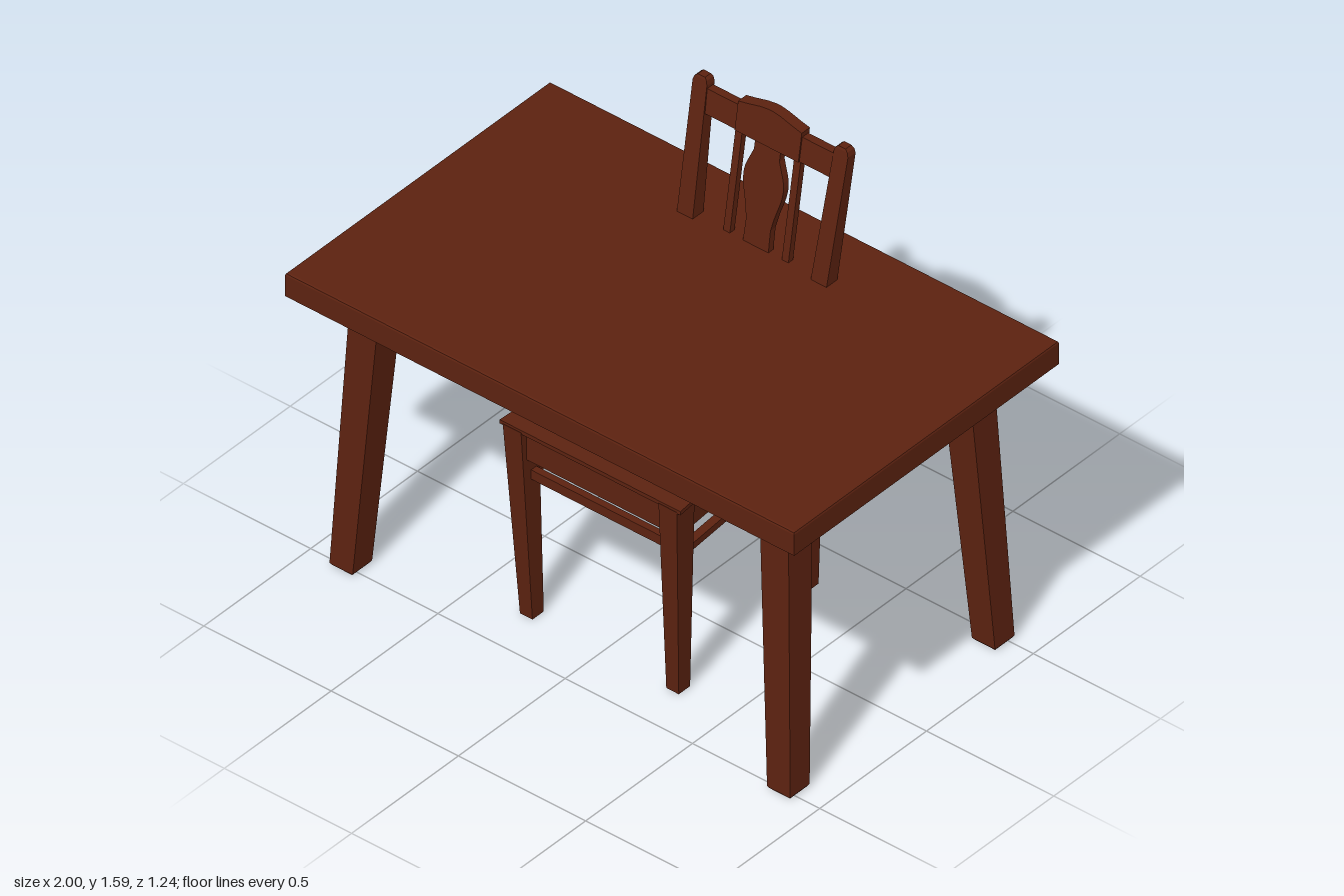
import * as THREE from 'three';

const wood = new THREE.MeshStandardMaterial({ color: 0x5c2210 });
wood.name = 'dark wood';

function add(group, name, geo) {
  const flat = geo.index ? geo.toNonIndexed() : geo;
  flat.computeVertexNormals();
  const mesh = new THREE.Mesh(flat, wood);
  mesh.name = name;
  group.add(mesh);
  return mesh;
}

// Box given by its limits
function box(x0, x1, y0, y1, z0, z1) {
  return new THREE.BoxGeometry(x1 - x0, y1 - y0, z1 - z0)
    .translate((x0 + x1) / 2, (y0 + y1) / 2, (z0 + z1) / 2);
}

// Post through rectangular sections [y, x0, x1, z0, z1], optionally mirrored
function loft(sections, sx = 1, sz = 1) {
  const rings = sections.map(([y, a, b, c, d]) => {
    const x = [a * sx, b * sx].sort((p, q) => p - q);
    const z = [c * sz, d * sz].sort((p, q) => p - q);
    return [[x[0], y, z[0]], [x[0], y, z[1]], [x[1], y, z[1]], [x[1], y, z[0]]];
  });
  const pos = [];
  const quad = (a, b, c, d) => pos.push(...a, ...b, ...c, ...a, ...c, ...d);
  for (let r = 0; r < rings.length - 1; r++) {
    for (let i = 0; i < 4; i++) {
      const j = (i + 1) % 4;
      quad(rings[r][i], rings[r][j], rings[r + 1][j], rings[r + 1][i]);
    }
  }
  const bottom = rings[0], top = rings[rings.length - 1];
  quad(...top);
  quad(bottom[3], bottom[2], bottom[1], bottom[0]);
  const geo = new THREE.BufferGeometry();
  geo.setAttribute('position', new THREE.Float32BufferAttribute(pos, 3));
  return geo;
}

// Move every vertex by a rule
function warp(geo, rule) {
  const p = geo.attributes.position, v = new THREE.Vector3();
  for (let i = 0; i < p.count; i++) {
    rule(v.fromBufferAttribute(p, i));
    p.setXYZ(i, v.x, v.y, v.z);
  }
  return geo;
}

// Backward slope of the chair back
const lean = (geo) => warp(geo, (v) => { v.z += -0.343 - 0.165 * (v.y - 0.75); });

// Outline given by its right half, mirrored in x
function mirroredShape(half) {
  const left = half.map(([x, y]) => [-x, y]).reverse();
  return new THREE.Shape([...half, ...left].map(([x, y]) => new THREE.Vector2(x, y)));
}

function rect(w, d, C = THREE.Shape) {
  return new C([[-w, -d], [w, -d], [w, d], [-w, d]].map(([x, y]) => new THREE.Vector2(x, y)));
}

function createTable() {
  const table = new THREE.Group();
  table.name = 'table';

  // Top with softened edges, and a rim around the hollow underside
  const b = 0.008;
  const plate = new THREE.ExtrudeGeometry(rect(1 - b, 0.62 - b),
    { depth: 0.045 - 2 * b, bevelSize: b, bevelThickness: b, bevelSegments: 2 });
  add(table, 'tableTop', plate.rotateX(-Math.PI / 2).translate(0, 1.07 + b, 0));
  const rim = rect(1, 0.62);
  rim.holes.push(rect(0.93, 0.55, THREE.Path));
  const rimGeo = new THREE.ExtrudeGeometry(rim, { depth: 0.052, bevelEnabled: false });
  add(table, 'tableRim', rimGeo.rotateX(-Math.PI / 2).translate(0, 1.028, 0));

  // Four splayed legs, thinner at the floor
  for (const sx of [1, -1]) for (const sz of [1, -1]) {
    add(table, 'tableLeg', loft([
      [0, 0.82, 0.9, 0.44, 0.52],
      [0.008, 0.814, 0.905, 0.434, 0.525],
      [1.075, 0.743, 0.858, 0.363, 0.478],
    ], sx, sz));
  }
  return table;
}

function createChair() {
  const chair = new THREE.Group();
  chair.name = 'chair';

  for (const s of [1, -1]) {
    add(chair, 'frontLeg', loft([
      [0, 0.263, 0.312, 0.287, 0.34],
      [0.73, 0.27, 0.342, 0.302, 0.385],
    ], s));
    // Back leg bends at the seat and rises into the back post
    add(chair, 'backLeg', loft([
      [0, 0.225, 0.282, -0.35, -0.295],
      [0.73, 0.22, 0.285, -0.378, -0.305],
      [1.115, 0.232, 0.294, -0.424, -0.373],
      [1.56, 0.249, 0.305, -0.496, -0.46],
      [1.575, 0.253, 0.3, -0.496, -0.463],
      [1.583, 0.262, 0.29, -0.494, -0.467],
    ], s));
    // Side rails follow the narrowing of the seat towards the back
    const follow = (v) => { v.x += s * 0.05 * (v.z / 0.64); };
    const xa = s * 0.28;
    add(chair, 'sideApron', warp(box(xa - 0.02, xa + 0.02, 0.615, 0.73, -0.32, 0.32), follow));
    add(chair, 'sideStretcher', warp(box(xa - 0.015, xa + 0.015, 0.515, 0.54, -0.32, 0.32), follow));
  }
  add(chair, 'frontApron', box(-0.29, 0.29, 0.615, 0.73, 0.325, 0.36));
  add(chair, 'backApron', box(-0.24, 0.24, 0.615, 0.73, -0.355, -0.32));
  add(chair, 'frontStretcher', box(-0.28, 0.28, 0.53, 0.565, 0.315, 0.34));
  add(chair, 'backStretcher', box(-0.24, 0.24, 0.53, 0.565, -0.345, -0.32));

  // Seat planks, slightly uneven
  const count = 5, depth = 0.695 / count;
  for (let i = 0; i < count; i++) {
    const z0 = -0.31 + i * depth, tilt = i % 2 ? 0.03 : -0.03;
    const plank = box(-0.355, 0.355, 0.727, 0.741, z0 + 0.001, z0 + depth - 0.001);
    add(chair, 'seatPlank', warp(plank, (v) => {
      v.y += tilt * (v.z - z0 - depth / 2);
      v.x *= 0.85 + 0.15 * (v.z + 0.31) / 0.695;
    }));
  }

  // Leaning back: rails, spindles, vase-shaped splat and peaked crest
  const back = new THREE.Group();
  back.name = 'chairBack';
  chair.add(back);
  add(back, 'lowerBackRail', lean(box(-0.24, 0.24, 0.965, 1.01, -0.015, 0.015)));
  add(back, 'upperBackRail', lean(box(-0.26, 0.26, 1.465, 1.55, -0.014, 0.014)));
  for (const s of [1, -1]) {
    const x = s * 0.115;
    add(back, 'spindle', lean(box(x - 0.013, x + 0.013, 1, 1.475, -0.011, 0.011)));
  }
  const curve = new THREE.SplineCurve([[0.048, 1.19], [0.058, 1.24], [0.076, 1.31],
    [0.076, 1.36], [0.058, 1.41], [0.05, 1.43]].map(([x, y]) => new THREE.Vector2(x, y)));
  const half = [[0.053, 1.0], ...curve.getPoints(16).map((p) => [p.x, p.y]), [0.05, 1.475]];
  const splat = new THREE.ExtrudeGeometry(mirroredShape(half), { depth: 0.024, bevelEnabled: false });
  add(back, 'splat', lean(splat.translate(0, 0, -0.012)));
  const crest = new THREE.ExtrudeGeometry(mirroredShape([[0.125, 1.465], [0.125, 1.566],
    [0.09, 1.573], [0.04, 1.585], [0.01, 1.589]]), { depth: 0.038, bevelEnabled: false });
  add(back, 'crest', lean(crest.translate(0, 0, -0.019)));
  return chair;
}

export function createModel() {
  const model = new THREE.Group();
  model.name = 'tableAndChair';
  model.add(createTable(), createChair());
  return model;
}
